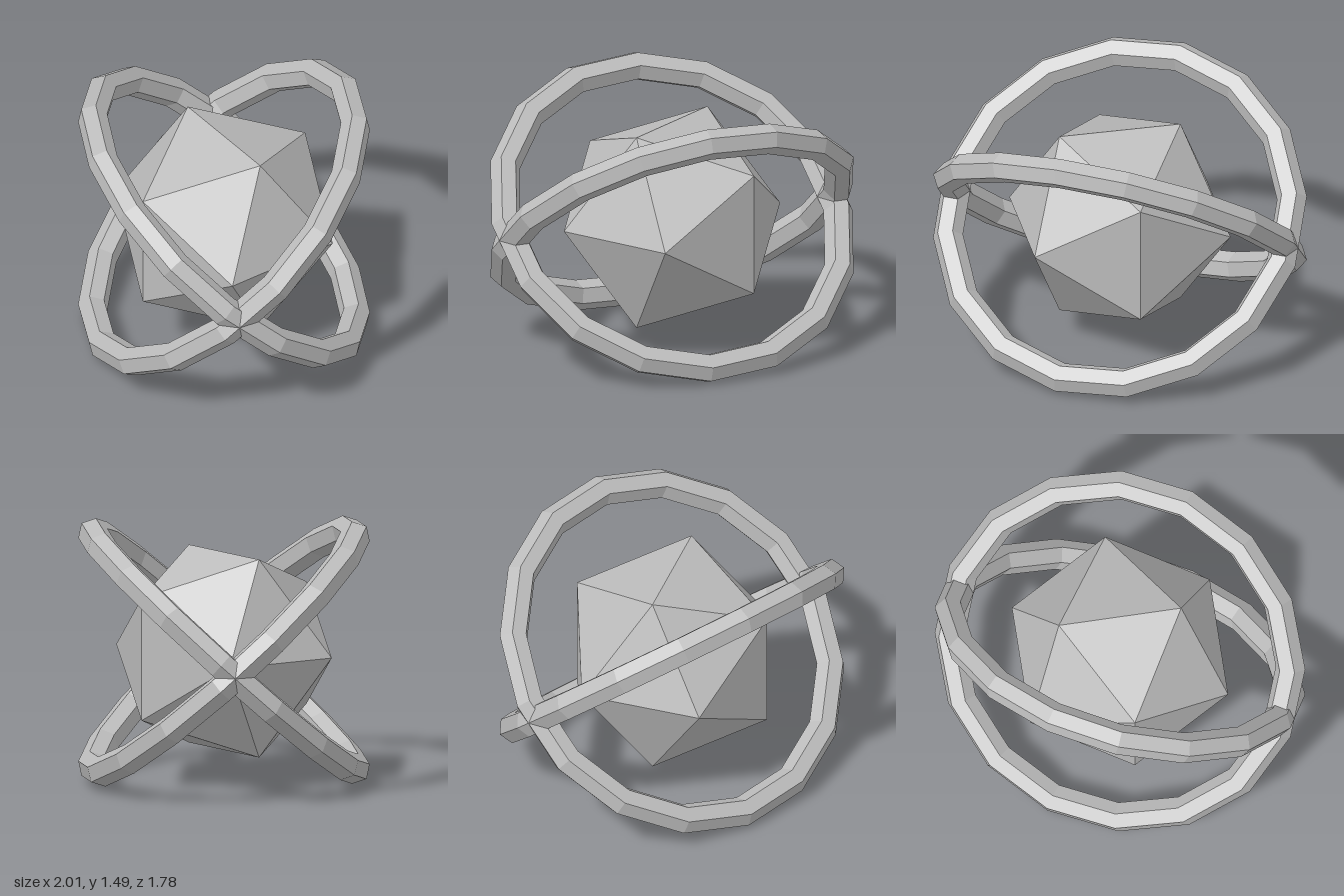
import * as THREE from 'three';

const CENTRE_Y = 0.75;
const rad = THREE.MathUtils.degToRad;

export function createModel() {
  const model = new THREE.Group();
  model.name = 'ringedCrystal';

  const grey = new THREE.MeshStandardMaterial({ color: 0xbcbcbc, flatShading: true });
  grey.name = 'grey';

  const add = (geometry, name) => {
    const mesh = new THREE.Mesh(geometry, grey);
    mesh.name = name;
    mesh.position.y = CENTRE_Y;
    model.add(mesh);
  };

  // Faceted core
  add(new THREE.IcosahedronGeometry(0.662, 0), 'core');

  // Two crossing hexagonal-section rings, mirror images of each other in height
  const ring = (tilt, roll, name) => {
    const geometry = new THREE.TorusGeometry(0.993, 0.086, 6, 16);
    geometry.rotateX(rad(tilt)).rotateZ(rad(roll));
    add(geometry, name);
  };
  ring(-55, 25, 'ringRisingLeft');
  ring(-125, -25, 'ringRisingRight');

  return model;
}
